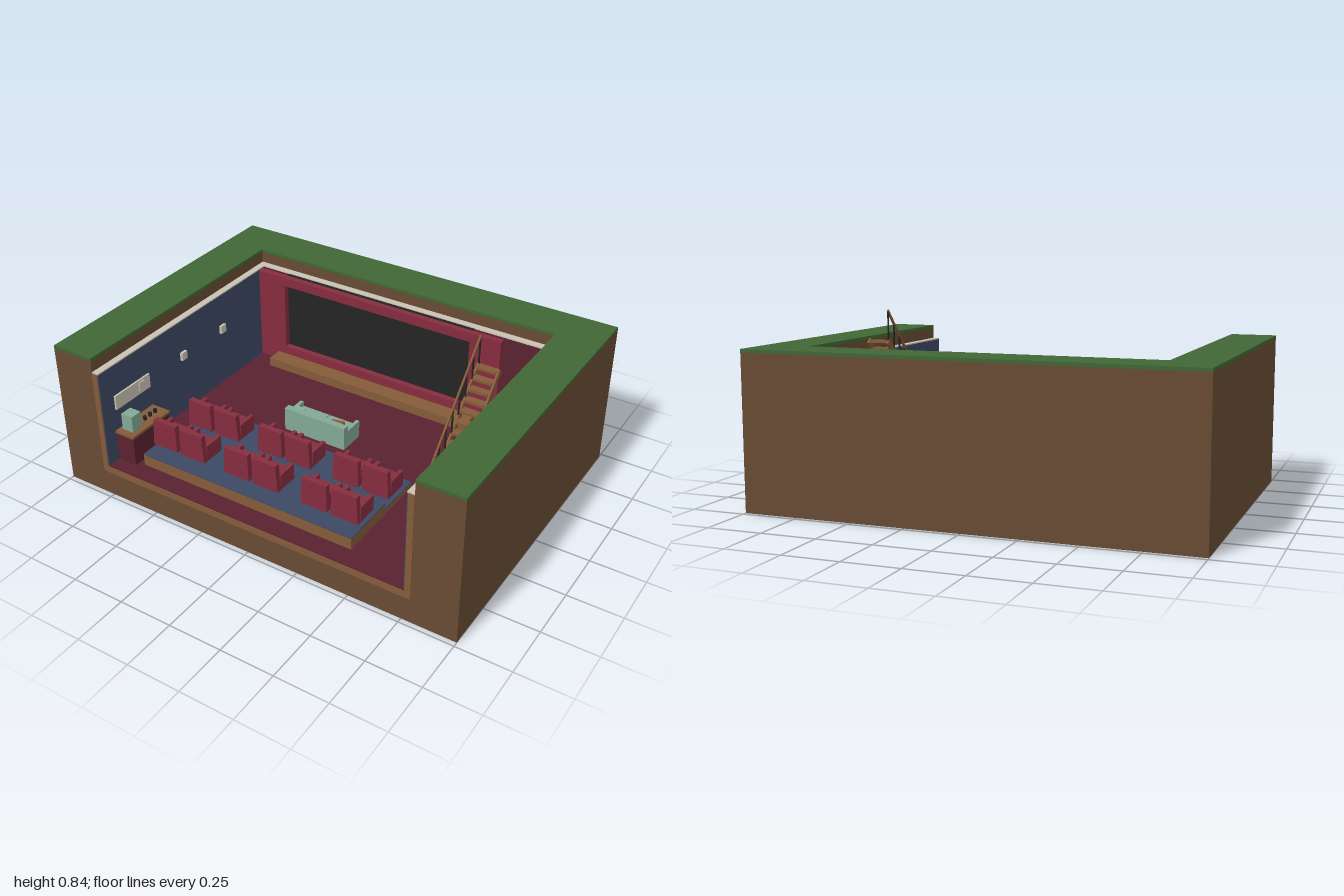
import * as THREE from 'three';

const paint = (name, color) => {
  const m = new THREE.MeshStandardMaterial({ color });
  m.name = name;
  return m;
};

export function createModel() {
  const soil = paint('soil brown', 0x674b34), grass = paint('grass green', 0x406735);
  const wood = paint('warm wood', 0x845b39), maroon = paint('carpet maroon', 0x5a2230);
  const red = paint('velvet red', 0x862d3e), navy = paint('navy blue', 0x3c4864);
  const cream = paint('cream', 0xcac2b3), black = paint('black', 0x242424);
  const teal = paint('pale teal', 0x82a895), rust = paint('rust', 0x8f5130);

  const model = new THREE.Group();
  model.name = 'undergroundCinema';
  const group = (name, parent = model) => {
    const g = new THREE.Group();
    g.name = name;
    parent.add(g);
    return g;
  };
  // Box given by its limits on each axis
  const box = (parent, name, mat, x0, x1, y0, y1, z0, z1) => {
    const m = new THREE.Mesh(new THREE.BoxGeometry(x1 - x0, y1 - y0, z1 - z0), mat);
    m.position.set((x0 + x1) / 2, (y0 + y1) / 2, (z0 + z1) / 2);
    m.name = name;
    parent.add(m);
    return m;
  };

  // Earth block and grass, open at the front
  const earth = group('earth');
  const F = 0.727, B = -0.73, W = 0.79, T = 0.69;
  box(earth, 'earthBase', soil, -1, 1, 0, 0.12, B, F);
  for (const [name, mat, y0, y1] of [['earth', soil, 0.12, T], ['grass', grass, T, 0.705]]) {
    box(earth, name + 'Back', mat, -W, W, y0, y1, B, -0.525);
    box(earth, name + 'Left', mat, W, 1, y0, y1, B, F);
    box(earth, name + 'Right', mat, -1, -W, y0, y1, B, F);
  }

  // Room shell: wooden structure, linings and pale wall tops
  const room = group('room');
  box(room, 'floorSlab', wood, -W, W, 0.12, 0.152, -0.525, 0.73);
  box(room, 'carpet', maroon, -0.76, 0.76, 0.152, 0.156, -0.495, 0.727);
  box(room, 'backWall', wood, -W, W, 0.152, 0.632, -0.525, -0.497);
  box(room, 'backLining', maroon, -0.756, 0.756, 0.156, 0.632, -0.497, -0.491);
  box(room, 'backWallTop', cream, -W, W, 0.632, 0.638, -0.525, -0.491);
  for (const s of [-1, 1]) {
    const side = (name, mat, a, b, ...rest) =>
      box(room, name, mat, Math.min(s * a, s * b), Math.max(s * a, s * b), ...rest);
    side('sideWall', wood, 0.762, W, 0.152, 0.632, -0.497, 0.73);
    side('wallLining', navy, 0.757, 0.762, 0.156, 0.632, -0.491, 0.727);
    side('wallTop', cream, 0.757, W, 0.632, 0.638, -0.491, 0.727);
    for (const z of [-0.125, 0.175, 0.48])
      side('wallLamp', cream, 0.743, 0.757, 0.435, 0.475, z - 0.018, z + 0.018);
  }
  box(room, 'door', maroon, 0.748, 0.757, 0.156, 0.46, -0.4, -0.23);

  // Screen, curtains and stage step
  const screen = group('screenWall');
  box(screen, 'screen', black, -0.605, 0.415, 0.235, 0.634, -0.491, -0.478);
  box(screen, 'curtainRight', red, -0.757, -0.605, 0.156, 0.63, -0.48, -0.448);
  box(screen, 'curtainLeft', red, 0.415, 0.57, 0.156, 0.63, -0.48, -0.448);
  box(screen, 'valance', red, -0.605, 0.415, 0.585, 0.63, -0.48, -0.448);
  box(screen, 'lowerPanel', red, -0.605, 0.415, 0.156, 0.24, -0.478, -0.448);
  box(screen, 'stage', wood, -0.65, 0.465, 0.156, 0.2, -0.445, -0.365);

  // Two-tier seating platform
  const tiers = group('platform');
  const rows = [[0.185, 0.14, 0.365, 0.25], [0.215, 0.365, 0.635, 0.497]];
  for (const [h, z0, z1] of rows) {
    box(tiers, 'tier', wood, -0.63, 0.46, 0.156, h - 0.004, z0, z1);
    box(tiers, 'tierCarpet', navy, -0.63, 0.46, h - 0.004, h, z0, z1);
  }

  // Armchairs in pairs, facing the screen, with a small table between
  const chair = (parent, x, y, z, outer) => {
    const g = group('armchair', parent);
    g.position.set(x, y, z);
    box(g, 'feet', black, -0.055, 0.055, 0, 0.012, -0.052, 0.052);
    box(g, 'seat', red, -0.05, 0.05, 0.012, 0.064, -0.06, 0.04);
    for (const s of [-1, 1])
      box(g, 'arm', red, s * 0.057 - 0.009, s * 0.057 + 0.009, 0.012, 0.088, -0.06, 0.042);
    const back = box(g, 'backrest', red, -0.066, 0.066, 0.012, 0.145, 0.038, 0.065);
    const p = back.geometry.attributes.position;
    for (let i = 0; i < p.count; i++)
      if (p.getY(i) > 0) p.setX(i, p.getX(i) - (p.getX(i) * outer > 0 ? outer * 0.009 : -outer * 0.002));
    back.geometry.computeVertexNormals();
  };
  const seats = group('seating');
  for (const [y, , , z] of rows)
    for (const x of [-0.487, -0.095, 0.304]) {
      chair(seats, x - 0.076, y, z, -1);
      chair(seats, x + 0.076, y, z, 1);
      box(seats, 'sideTable', wood, x - 0.011, x + 0.011, y, y + 0.09, z - 0.025, z + 0.03);
    }

  // Sofa with cushions
  const sofa = group('sofa');
  box(sofa, 'sofaBase', teal, -0.24, 0.05, 0.165, 0.2, -0.06, 0.04);
  for (const x of [-0.24, -0.093])
    box(sofa, 'seatCushion', teal, x, x + 0.143, 0.2, 0.22, -0.065, 0.03);
  for (const x of [-0.257, 0.05])
    box(sofa, 'sofaArm', teal, x, x + 0.017, 0.16, 0.245, -0.065, 0.04);
  box(sofa, 'sofaBack', teal, -0.257, 0.067, 0.16, 0.275, 0.035, 0.068);
  for (const [x, mat, turn] of [[-0.205, teal, -0.2], [0.005, rust, 0.2]]) {
    const c = box(sofa, 'pillow', mat, x - 0.03, x + 0.03, 0.222, 0.27, 0.008, 0.028);
    c.rotation.set(0.25, turn, 0);
  }

  // Snack counter by the right wall
  const counter = group('snackCounter');
  box(counter, 'cabinet', maroon, -0.757, -0.66, 0.156, 0.298, 0.415, 0.66);
  box(counter, 'counterTop', wood, -0.757, -0.655, 0.298, 0.31, 0.41, 0.665);
  box(counter, 'snackMachine', teal, -0.74, -0.68, 0.31, 0.39, 0.575, 0.635);
  box(counter, 'menuBoard', cream, -0.757, -0.748, 0.415, 0.485, 0.42, 0.65);
  for (const z of [0.455, 0.49, 0.525]) {
    const cup = new THREE.Mesh(new THREE.CylinderGeometry(0.009, 0.008, 0.018, 12), black);
    cup.name = 'cup';
    cup.position.set(-0.705, 0.319, z);
    counter.add(cup);
  }

  // Open staircase climbing towards the back
  const stairs = group('staircase');
  const N = 15, zBottom = 0.37, zTop = -0.13, rise = 0.545, run = zBottom - zTop;
  for (let i = 0; i < N; i++) {
    const y = 0.156 + rise * (i + 1) / N, z = zBottom - run * i / N;
    box(stairs, 'tread', wood, 0.62, 0.708, y - 0.012, y, z - run / N - 0.004, z);
  }
  const slope = Math.atan2(rise, run), length = Math.hypot(rise, run);
  const sloped = (name, mat, x0, x1, y, thick) => {
    const b = box(stairs, name, mat, x0, x1, -thick / 2, thick / 2, -length / 2, length / 2);
    b.position.set((x0 + x1) / 2, y + rise / 2, (zBottom + zTop) / 2);
    b.rotation.x = slope;
  };
  sloped('stringer', wood, 0.61, 0.62, 0.154, 0.03);
  sloped('stringer', wood, 0.708, 0.718, 0.154, 0.03);
  sloped('handrail', wood, 0.611, 0.619, 0.293, 0.01);
  for (let i = 0; i < 10; i++) {
    const t = i / 9, z = zBottom - 0.003 - (run - 0.006) * t, y = 0.156 + rise * t;
    box(stairs, 'railPost', black, 0.612, 0.618, y, y + 0.137, z - 0.003, z + 0.003);
  }
  return model;
}
